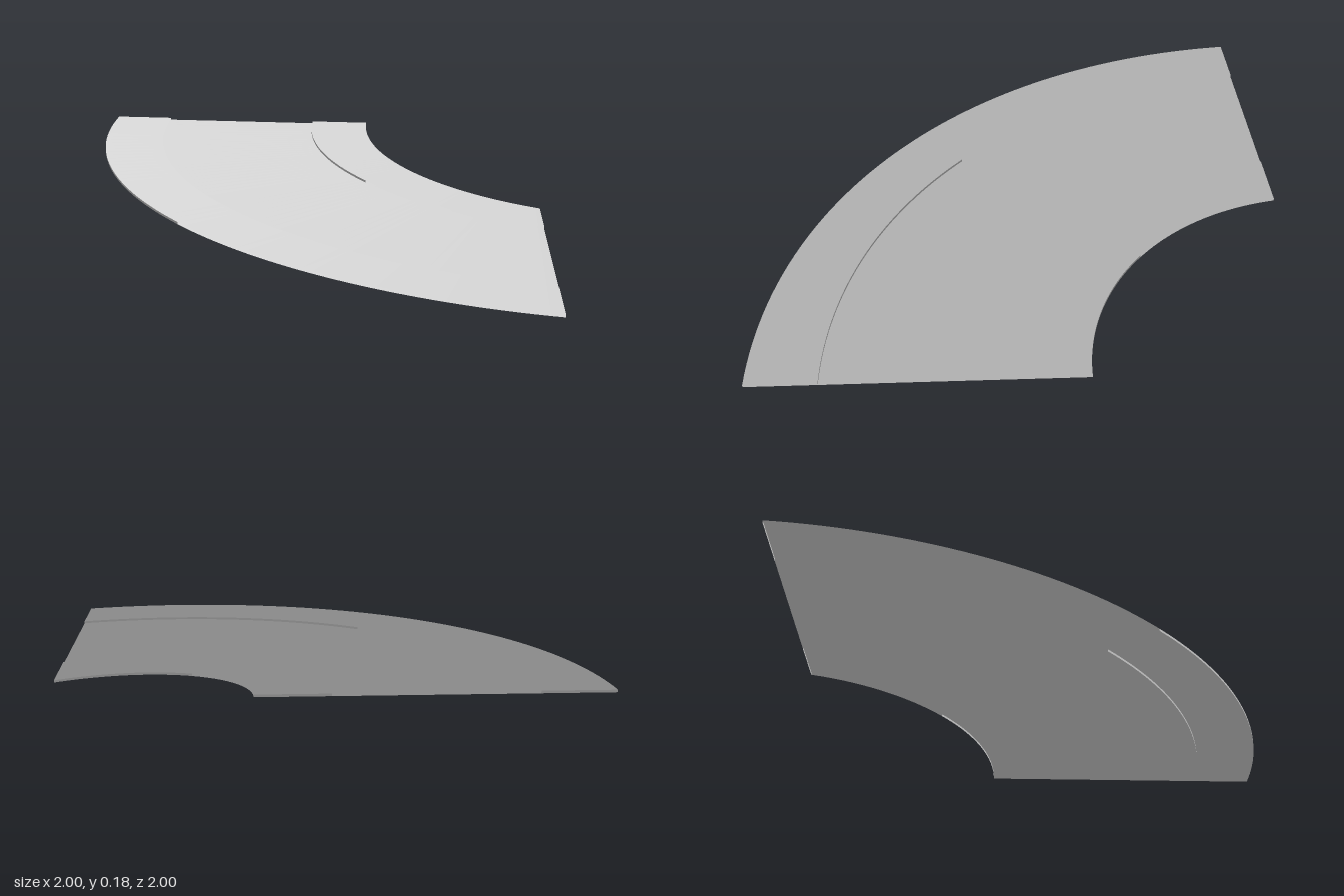
import * as THREE from 'three';

const STEPS = 64;
const RISE = 0.173;   // climb over the quarter turn
const CURB = 0.009;   // curb height above the roadway
const TONE = new THREE.Vector3(1, 1, 1).normalize(); // one shading direction, for an even tone

// Point on the ramp: radius, height above the slope, turn fraction 0 (high end) to 1 (low end)
function rampPoint([r, h], f) {
  const a = f * Math.PI / 2;
  return [1 - r * Math.cos(a), RISE * (1 - f) + h, -1 + r * Math.sin(a)];
}

// Sweeps an open profile of [radius, height] points round the bend
function sweep(profile, capped) {
  const pos = [], idx = [];
  for (let s = 0; s < profile.length - 1; s++) {
    const base = pos.length / 3;
    for (let i = 0; i <= STEPS; i++) {
      pos.push(...rampPoint(profile[s], i / STEPS), ...rampPoint(profile[s + 1], i / STEPS));
      if (i === STEPS) continue;
      const a = base + i * 2;
      idx.push(a, a + 1, a + 2, a + 1, a + 3, a + 2);
    }
  }
  // End caps
  if (capped) {
    for (const f of [0, 1]) {
      const base = pos.length / 3;
      profile.forEach((p) => pos.push(...rampPoint(p, f)));
      for (let k = 1; k < profile.length - 1; k++) {
        if (f) idx.push(base, base + k, base + k + 1);
        else idx.push(base, base + k + 1, base + k);
      }
    }
  }
  const normals = [];
  for (let i = 0; i < pos.length / 3; i++) normals.push(TONE.x, TONE.y, TONE.z);
  const geometry = new THREE.BufferGeometry();
  geometry.setAttribute('position', new THREE.Float32BufferAttribute(pos, 3));
  geometry.setAttribute('normal', new THREE.Float32BufferAttribute(normals, 3));
  geometry.setIndex(idx);
  return geometry;
}

export function createModel() {
  const group = new THREE.Group();
  group.name = 'curvedRoadRamp';
  const material = new THREE.MeshStandardMaterial({ color: 0xcccccc, side: THREE.DoubleSide });
  const add = (name, geometry) => {
    const mesh = new THREE.Mesh(geometry, material);
    mesh.name = name;
    group.add(mesh);
  };

  // Thin sloping roadway between two raised sidewalks, hollow underneath
  add('roadway', sweep([[1.04, 0], [1.74, 0]], false));
  const sidewalk = (r0, r1) => sweep([[r0, 0], [r0, CURB], [r1, CURB], [r1, 0]], true);
  add('innerSidewalk', sidewalk(0.78, 1.04));
  add('outerSidewalk', sidewalk(1.74, 2));
  return group;
}
